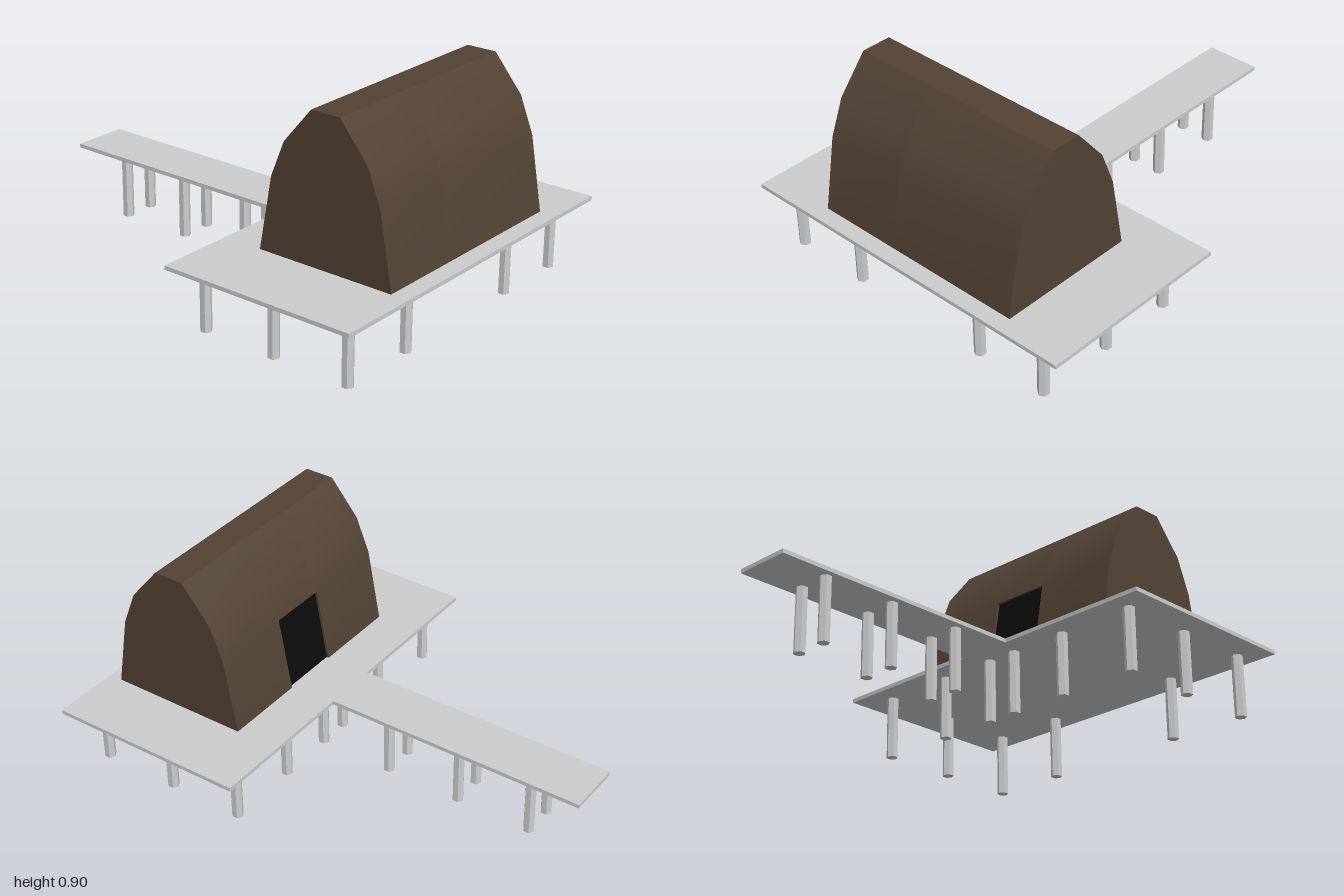
import * as THREE from 'three';
import { mergeGeometries, toCreasedNormals } from 'three/addons/utils/BufferGeometryUtils.js';

// Extrude an x,y profile between two z positions
function prism(points, z0, z1) {
  const shape = new THREE.Shape(points.map(([x, y]) => new THREE.Vector2(x, y)));
  return new THREE.ExtrudeGeometry(shape, { depth: z1 - z0, bevelEnabled: false }).translate(0, 0, z0);
}

export function createModel() {
  const group = new THREE.Group();
  const grey = new THREE.MeshStandardMaterial({ color: 0xcccccc });
  const brown = new THREE.MeshStandardMaterial({ color: 0x524234 });
  const black = new THREE.MeshStandardMaterial({ color: 0x0c0c0c });

  function add(name, geometry, material) {
    const mesh = new THREE.Mesh(geometry, material);
    mesh.name = name;
    group.add(mesh);
    return mesh;
  }

  // T-shaped deck: broad platform with a narrow walkway (drawn in x, -z)
  const outline = [
    [-1, -0.115], [0.14, -0.115], [0.14, -0.795], [1, -0.795],
    [1, 0.795], [0.14, 0.795], [0.14, 0.125], [-1, 0.125],
  ];
  add('deck', prism(outline, 0.265, 0.282).rotateX(-Math.PI / 2), grey);

  // Arched hut, with a shallow doorway recess in the wall facing the walkway
  const arch = [
    [0.935, 0.29], [0.88, 0.6], [0.82, 0.75], [0.695, 0.9],
    [0.565, 0.9], [0.44, 0.75], [0.38, 0.6],
  ];
  const full = [...arch, [0.325, 0.29]];
  const notched = [...arch, [0.4, 0.6], [0.345, 0.29]];
  const doorBack = -0.155, doorFront = 0.1;
  const hut = mergeGeometries([
    prism(full, -0.51, doorBack),
    prism(notched, doorBack, doorFront),
    prism(full, doorFront, 0.47),
  ]);
  add('hut', toCreasedNormals(hut, Math.PI / 6), brown);

  // Dark door leaning with the wall, set just inside the recess
  const doorProfile = [[0.335, 0.29], [0.365, 0.29], [0.42, 0.6], [0.39, 0.6]];
  add('door', prism(doorProfile, doorBack, doorFront), black);

  // Hexagonal stilts: pairs under the walkway, the rest around the platform
  const spots = [];
  for (const x of [-0.76, -0.43, -0.095, 0.235]) {
    for (const z of [0.07, -0.065]) spots.push([x, z]);
  }
  for (const x of [0.235, 0.565, 0.905]) {
    for (const z of [0.675, -0.645]) spots.push([x, z]);
  }
  for (const x of [0.235, 0.905]) {
    for (const z of [0.33, -0.32]) spots.push([x, z]);
  }
  const stilt = toCreasedNormals(
    new THREE.CylinderGeometry(0.024, 0.024, 0.27, 6).rotateY(Math.PI / 2), 0.5);
  for (const [x, z] of spots) add('stilt', stilt, grey).position.set(x, 0.135, z);

  return group;
}
